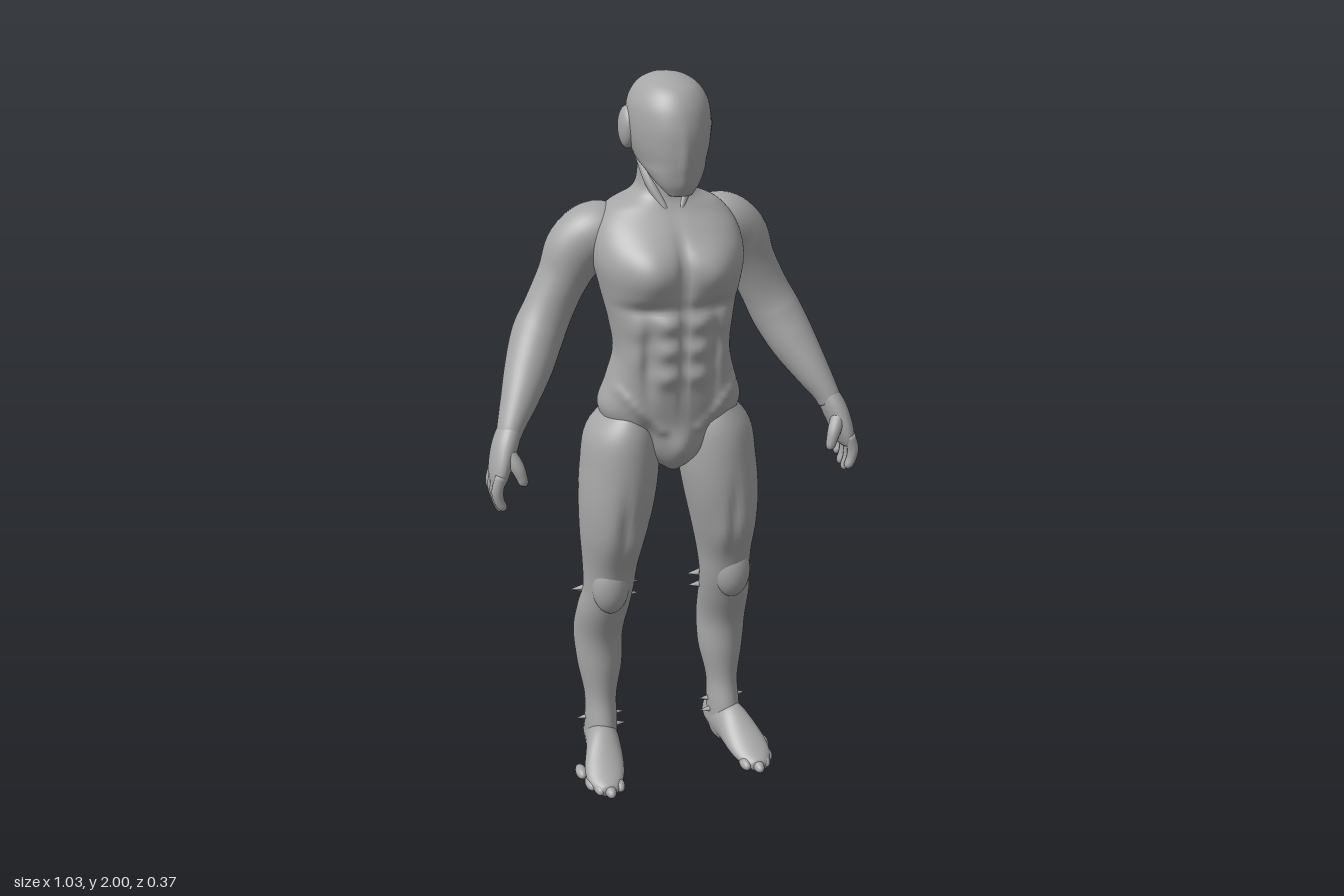
import * as THREE from 'three';

const V3 = (x, y, z) => new THREE.Vector3(x, y, z);
const DOWN = V3(0, -1, 0), UP = V3(0, 1, 0), FRONT = V3(0, 0, 1);

// Smooth loft through sections [x, y, z, radiusU, radiusV]; radiusV lies along ref.
// With axis set, every ring is perpendicular to it; otherwise rings follow the path.
function loft(sections, { ref = FRONT, axis = null, sides = 40, steps = 6, power = 2 } = {}) {
  const path = new THREE.CatmullRomCurve3(sections.map(s => V3(s[0], s[1], s[2])), false, 'catmullrom', 0.5);
  const size = new THREE.CatmullRomCurve3(sections.map(s => V3(s[3], s[4], 0)), false, 'catmullrom', 0.5);
  const n = (sections.length - 1) * steps, pos = [], idx = [];
  const soft = c => Math.sign(c) * Math.pow(Math.abs(c), 2 / power);
  for (let i = 0; i <= n; i++) {
    const c = path.getPoint(i / n), r = size.getPoint(i / n);
    const T = axis || path.getTangent(i / n);
    const V = ref.clone().addScaledVector(T, -ref.dot(T)).normalize();
    const U = V.clone().cross(T);
    for (let j = 0; j < sides; j++) {
      const a = j / sides * Math.PI * 2;
      const p = c.clone().addScaledVector(U, Math.max(r.x, 0.002) * soft(Math.cos(a)))
        .addScaledVector(V, Math.max(r.y, 0.002) * soft(Math.sin(a)));
      pos.push(p.x, p.y, p.z);
      const k = (j + 1) % sides, A = i * sides;
      if (i < n) idx.push(A + j, A + k, A + sides + j, A + k, A + sides + k, A + sides + j);
    }
  }
  const first = path.getPoint(0), last = path.getPoint(1), m = pos.length / 3;
  pos.push(first.x, first.y, first.z, last.x, last.y, last.z);
  for (let j = 0; j < sides; j++) {
    const k = (j + 1) % sides;
    idx.push(m, k, j, m + 1, n * sides + j, n * sides + k);
  }
  const g = new THREE.BufferGeometry();
  g.setAttribute('position', new THREE.Float32BufferAttribute(pos, 3));
  g.setIndex(idx);
  g.computeVertexNormals();
  return g;
}

// Muscle relief: bumps [side (1 front, -1 back), |x|, y, radiusX, radiusY, height]
function sculpt(g, bumps, zMid) {
  const p = g.attributes.position;
  for (let i = 0; i < p.count; i++) {
    const x = Math.abs(p.getX(i)), y = p.getY(i), d = p.getZ(i) - zMid;
    let h = 0;
    for (const [side, bx, by, rx, ry, amp] of bumps) {
      if (side * d > 0) h += side * amp * Math.exp(-(((x - bx) / rx) ** 2) - ((y - by) / ry) ** 2);
    }
    p.setZ(i, p.getZ(i) + h * Math.min(1, Math.abs(d) / 0.06));
  }
  g.computeVertexNormals();
  return g;
}

// Section from height, half width, front z and back z
const slice = (x, y, w, front, back) => [x, y, (front + back) / 2, w, (front - back) / 2];
const blob = (x, y, z, a, b, c) => new THREE.SphereGeometry(1, 28, 20).scale(a, b, c).translate(x, y, z);

function mirrored(g) {
  const m = g.clone().scale(-1, 1, 1), ix = m.index;
  for (let i = 0; i < ix.count; i += 3) {
    const t = ix.getX(i);
    ix.setX(i, ix.getX(i + 1));
    ix.setX(i + 1, t);
  }
  m.computeVertexNormals();
  return m;
}

export function createModel() {
  const model = new THREE.Group();
  const grey = new THREE.MeshStandardMaterial({ color: 0xa6a6a6 });
  grey.name = 'plain grey';
  const add = (name, g) => {
    const mesh = new THREE.Mesh(g, grey);
    mesh.name = name;
    model.add(mesh);
  };
  const pair = (name, g) => { add('left' + name, g); add('right' + name, mirrored(g)); };

  // Torso and neck
  const torso = loft([
    slice(0, 0.935, 0.02, 0.05, -0.06), slice(0, 0.97, 0.07, 0.085, -0.1), slice(0, 1.04, 0.15, 0.105, -0.125),
    slice(0, 1.12, 0.195, 0.12, -0.13), slice(0, 1.2, 0.175, 0.13, -0.115), slice(0, 1.28, 0.156, 0.138, -0.105),
    slice(0, 1.36, 0.165, 0.14, -0.12), slice(0, 1.45, 0.185, 0.142, -0.145), slice(0, 1.53, 0.2, 0.138, -0.165),
    slice(0, 1.6, 0.19, 0.1, -0.175), slice(0, 1.655, 0.15, 0.05, -0.16), slice(0, 1.695, 0.08, 0.03, -0.135),
    slice(0, 1.76, 0.067, 0.025, -0.115), slice(0, 1.84, 0.065, 0.02, -0.11),
  ], { axis: UP, sides: 120, steps: 9, power: 2.3 });
  const relief = [
    // chest, breastbone groove and rib arch
    [1, 0.09, 1.5, 0.075, 0.06, 0.03], [1, 0.08, 1.56, 0.07, 0.04, 0.012], [1, 0, 1.51, 0.015, 0.09, -0.012],
    [1, 0.09, 1.415, 0.07, 0.018, -0.014], [1, 0.12, 1.36, 0.03, 0.03, 0.008],
    // belly midline, flanks and crotch
    [1, 0, 1.27, 0.009, 0.13, -0.01], [1, 0.09, 1.27, 0.018, 0.1, -0.012], [1, 0.13, 1.28, 0.03, 0.04, 0.008],
    [1, 0, 1.02, 0.035, 0.05, 0.025], [1, 0.085, 1.06, 0.025, 0.05, -0.012],
    // spine, shoulder blades, lower back and buttocks
    [-1, 0, 1.4, 0.018, 0.24, -0.018], [-1, 0.1, 1.57, 0.06, 0.06, 0.018], [-1, 0.12, 1.44, 0.05, 0.06, 0.008],
    [-1, 0.045, 1.26, 0.03, 0.08, 0.01], [-1, 0.085, 1.045, 0.065, 0.07, 0.042], [-1, 0, 1.03, 0.013, 0.07, -0.025],
  ];
  for (const y of [1.375, 1.305, 1.23]) relief.push([1, 0.042, y, 0.034, 0.026, 0.014]);
  for (let i = 0; i < 7; i++) relief.push([1, 0.055 + i * 0.018, 1.075 + i * 0.019, 0.016, 0.013, 0.009]);
  add('torso', sculpt(torso, relief, -0.01));
  pair('NeckMuscle', loft([[0.065, 1.79, -0.05, 0.014, 0.014], [0.05, 1.72, 0, 0.014, 0.014],
    [0.02, 1.655, 0.04, 0.008, 0.008]], { sides: 14 }));

  // Helmet-like head, pointed at the chin
  const head = loft([
    slice(0, 1.708, 0.03, 0.118, 0.085), slice(0, 1.735, 0.055, 0.13, 0.03), slice(0, 1.765, 0.075, 0.136, -0.04),
    slice(0, 1.79, 0.088, 0.14, -0.12), slice(0, 1.83, 0.1, 0.142, -0.146), slice(0, 1.88, 0.105, 0.139, -0.152),
    slice(0, 1.93, 0.1, 0.124, -0.149), slice(0, 1.968, 0.078, 0.094, -0.124), slice(0, 1.99, 0.045, 0.045, -0.08),
    slice(0, 2, 0.004, -0.01, -0.025),
  ], { axis: UP, sides: 72, steps: 6 });
  add('head', sculpt(head, [[1, 0, 1.8, 0.012, 0.08, 0.004], [-1, 0, 1.885, 0.12, 0.009, -0.005],
    [-1, 0, 1.82, 0.12, 0.01, -0.005]], -0.01));
  pair('EarCover', blob(0.1, 1.86, -0.035, 0.024, 0.055, 0.042));

  // Legs
  const leg = loft([
    slice(0.115, 1.13, 0.05, 0.08, -0.08), slice(0.132, 1.05, 0.096, 0.112, -0.135), slice(0.139, 0.95, 0.107, 0.122, -0.142),
    slice(0.15, 0.85, 0.104, 0.12, -0.127), slice(0.16, 0.75, 0.092, 0.103, -0.116), slice(0.167, 0.65, 0.077, 0.072, -0.107),
    slice(0.172, 0.57, 0.071, 0.054, -0.1), slice(0.18, 0.5, 0.073, 0.03, -0.13), slice(0.186, 0.4, 0.07, -0.008, -0.178),
    slice(0.184, 0.3, 0.064, -0.015, -0.165), slice(0.186, 0.2, 0.046, -0.018, -0.138), slice(0.188, 0.12, 0.046, 0, -0.137),
    slice(0.19, 0.05, 0.045, 0.01, -0.15), slice(0.19, 0.01, 0.036, 0, -0.14),
  ], { axis: DOWN, sides: 56 });
  pair('Leg', sculpt(leg, [[1, 0.13, 0.73, 0.03, 0.06, 0.008], [1, 0.2, 0.76, 0.035, 0.09, 0.008],
    [1, 0.155, 0.8, 0.012, 0.1, -0.008], [-1, 0.175, 0.57, 0.022, 0.06, -0.02],
    [-1, 0.185, 0.4, 0.01, 0.07, -0.008]], -0.03));
  pair('Kneecap', blob(0.178, 0.595, 0.028, 0.052, 0.082, 0.045));

  // Feet and toes
  pair('Foot', loft([
    [0.185, 0.05, -0.16, 0.015, 0.025], [0.186, 0.052, -0.14, 0.038, 0.05], [0.19, 0.062, -0.07, 0.047, 0.062],
    [0.2, 0.064, 0, 0.051, 0.064], [0.215, 0.042, 0.07, 0.058, 0.041], [0.222, 0.027, 0.12, 0.05, 0.026],
    [0.224, 0.018, 0.165, 0.025, 0.016],
  ], { ref: UP, axis: FRONT, sides: 32 }));
  const toes = [[0.19, 0.135], [0.222, 0.158], [0.248, 0.135], [0.265, 0.105], [0.277, 0.04]];
  for (const [x, z] of toes) pair('Toe', blob(x, 0.017, z, 0.016, 0.017, 0.032));

  // Small spurs beside knees and ankles: [x, y, z, direction]
  const spurs = [[0.1, 0.555, -0.06, -1], [0.102, 0.52, -0.055, -1], [0.245, 0.555, -0.06, 1],
    [0.145, 0.125, -0.075, -1], [0.142, 0.095, -0.06, -1], [0.232, 0.125, -0.075, 1]];
  for (const [x, y, z, d] of spurs) {
    pair('Spur', new THREE.ConeGeometry(0.012, 0.045, 10).rotateZ(-d * Math.PI / 2).translate(x + d * 0.008, y, z));
  }

  // Arms
  pair('Arm', loft([
    [0.1, 1.6, -0.085, 0.04, 0.06], [0.165, 1.585, -0.09, 0.078, 0.086], [0.222, 1.535, -0.1, 0.084, 0.083],
    [0.262, 1.46, -0.103, 0.069, 0.073], [0.302, 1.38, -0.1, 0.067, 0.068], [0.337, 1.31, -0.09, 0.07, 0.075],
    [0.373, 1.235, -0.05, 0.064, 0.067], [0.41, 1.165, -0.005, 0.05, 0.055], [0.44, 1.11, 0.028, 0.037, 0.045],
    [0.452, 1.08, 0.04, 0.032, 0.042],
  ], { sides: 36 }));
  pair('Elbow', blob(0.325, 1.335, -0.14, 0.032, 0.045, 0.032));

  // Hands
  pair('Palm', loft([
    [0.438, 1.115, 0.025, 0.03, 0.04], [0.464, 1.06, 0.047, 0.034, 0.052], [0.484, 1, 0.063, 0.028, 0.056],
    [0.492, 0.965, 0.065, 0.018, 0.048],
  ], { sides: 28 }));
  [[0.022, 0.912], [0.05, 0.893], [0.08, 0.887], [0.106, 0.9]].forEach(([z, tip]) => {
    pair('Finger', loft([
      [0.488, 1, z, 0.015, 0.014], [0.499, 0.96, z, 0.016, 0.016], [0.496, (0.96 + tip) / 2, z, 0.014, 0.015],
      [0.487, tip + 0.01, z, 0.012, 0.013], [0.485, tip, z, 0.004, 0.004],
    ], { sides: 14, steps: 4 }));
  });
  pair('Thumb', loft([
    [0.468, 1.06, 0.075, 0.02, 0.02], [0.445, 1.02, 0.1, 0.019, 0.019], [0.434, 0.99, 0.108, 0.015, 0.016],
    [0.43, 0.972, 0.11, 0.012, 0.012], [0.43, 0.965, 0.11, 0.003, 0.003],
  ], { sides: 14, steps: 4 }));

  return model;
}
